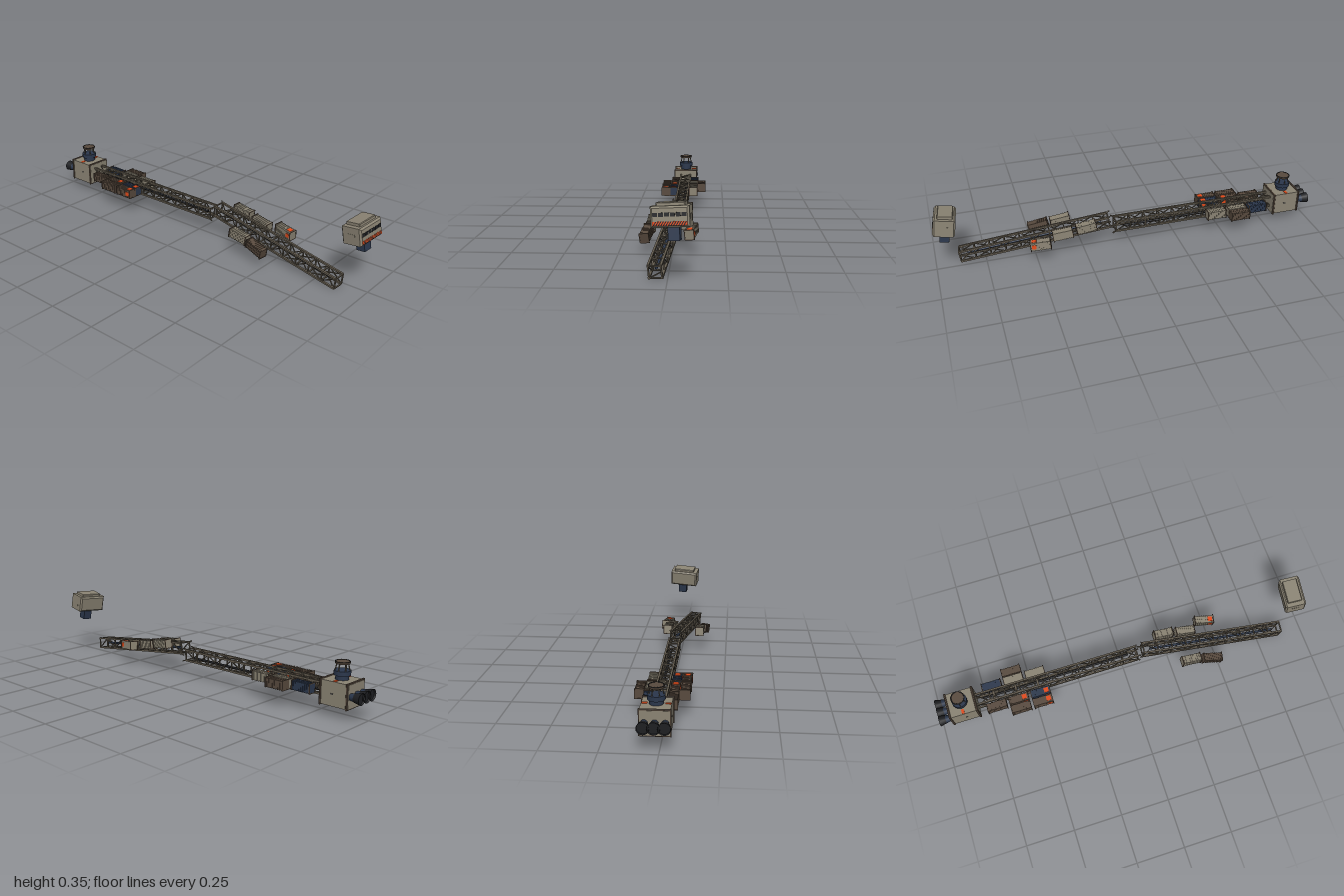
import * as THREE from 'three';
import { mergeGeometries } from 'three/addons/utils/BufferGeometryUtils.js';

const mat = (name, color, extra = {}) => {
  const m = new THREE.MeshStandardMaterial({ color, ...extra });
  m.name = name;
  return m;
};
const M = {
  hull: mat('hull grey', 0x8a8373),
  steel: mat('truss steel', 0x645c4f),
  brown: mat('rust brown', 0x584a3e),
  navy: mat('navy', 0x2b374c, { side: THREE.DoubleSide }),
  orange: mat('hazard orange', 0xe04a1a),
  dark: mat('near black', 0x1e1f22, { side: THREE.DoubleSide }),
};
const V = (x, y, z) => new THREE.Vector3(x, y, z);

function add(parent, name, geo, material, x = 0, y = 0, z = 0) {
  const m = new THREE.Mesh(geo, material);
  m.name = name;
  m.position.set(x, y, z);
  parent.add(m);
  return m;
}
const box = (w, h, d, x = 0, y = 0, z = 0) => new THREE.BoxGeometry(w, h, d).translate(x, y, z);

// Square bar between two points
function bar(a, b, t) {
  const d = b.clone().sub(a);
  const g = new THREE.BoxGeometry(t, t, d.length());
  g.applyQuaternion(new THREE.Quaternion().setFromUnitVectors(V(0, 0, 1), d.normalize()));
  const c = a.clone().add(b).multiplyScalar(0.5);
  return g.translate(c.x, c.y, c.z);
}

// Box with bevelled edges
function bevelBox(w, h, d, b) {
  const x = w / 2 - b, y = h / 2 - b;
  const s = new THREE.Shape([[-x, -y], [x, -y], [x, y], [-x, y]].map(p => new THREE.Vector2(...p)));
  return new THREE.ExtrudeGeometry(s, { depth: d - 2 * b, bevelSize: b, bevelThickness: b, bevelSegments: 1 })
    .translate(0, 0, b - d / 2);
}

// Lattice spine along z: four rails, square frames, alternating diagonals, inner conduit
function truss(name, length, bays, brokenEnd, pipeMat, pipeX, pipeY) {
  const g = new THREE.Group();
  g.name = name;
  const r = 0.0275, step = length / bays, parts = [];
  const corners = [[-r, -r], [r, -r], [r, r], [-r, r]];
  const zAt = i => -length / 2 + i * step;
  corners.forEach(([x, y], k) => {
    const [nx, ny] = corners[(k + 1) % 4];
    parts.push(box(0.0095, 0.0095, length, x, y, 0));
    for (let i = 0; i <= bays; i++) {
      parts.push(bar(V(x, y, zAt(i)), V(nx, ny, zAt(i)), 0.006));
      if (i === bays) continue;
      const flip = i % 2;
      parts.push(bar(V(x, y, zAt(i + flip)), V(nx, ny, zAt(i + 1 - flip)), 0.0045));
    }
    // Bent stubs on the snapped end
    const z = brokenEnd * length / 2;
    const reach = [0.012, 0.02, 0.009, 0.016][k];
    parts.push(bar(V(x, y, z), V(x * 1.12, y * 1.25, z + brokenEnd * reach), 0.006));
  });
  add(g, 'trussFrame', mergeGeometries(parts), M.steel);
  const pipe = new THREE.CylinderGeometry(0.006, 0.006, length * 0.9, 8).rotateX(Math.PI / 2);
  add(g, 'conduit', pipe, pipeMat, pipeX, pipeY, 0);
  return g;
}

// Ribbed cargo container with end frames and an optional orange marking
function container(parent, color, pos, rot = [0, 0, 0], marked = false) {
  const g = new THREE.Group();
  g.name = 'cargoContainer';
  const w = 0.043, h = 0.046, L = 0.104;
  const body = [box(w - 0.004, h - 0.004, L - 0.002)];
  for (let i = 0; i < 9; i++) body.push(box(w - 0.001, h - 0.001, 0.005, 0, 0, (i - 4) * 0.0108));
  add(g, 'containerBody', mergeGeometries(body), color);
  const frame = [];
  for (const s of [-1, 1]) {
    const z = s * (L / 2 - 0.002);
    for (const t of [-1, 1]) {
      frame.push(box(0.004, h + 0.002, 0.004, t * w / 2, 0, z));
      frame.push(box(w, 0.004, 0.004, 0, t * h / 2, z));
    }
  }
  add(g, 'containerFrame', mergeGeometries(frame), M.brown);
  if (marked) {
    add(g, 'topMarking', box(0.025, 0.002, 0.024), M.orange, 0, h / 2, 0.031);
    for (const s of [-1, 1]) add(g, 'sideMarking', box(0.002, 0.022, 0.022), M.orange, s * w / 2, 0, 0.033);
  }
  g.rotation.set(rot[0], rot[1], rot[2], 'YXZ');
  g.position.set(...pos);
  parent.add(g);
}

// Command cabin with windows, hazard band and neck
function cabin() {
  const g = new THREE.Group();
  g.name = 'commandCabin';
  const w = 0.158, h = 0.086, d = 0.106, f = d / 2;
  add(g, 'cabinHull', bevelBox(w, h, d, 0.008), M.hull);
  add(g, 'roofTier', bevelBox(0.118, 0.022, 0.074, 0.003), M.hull, 0.002, h / 2 + 0.003, -0.002);
  for (let i = 0; i < 6; i++)
    add(g, 'window', box(0.0195, 0.016, 0.003), M.dark, (i - 2.5) * 0.0235, 0.009, f);
  add(g, 'hazardBand', box(0.142, 0.017, 0.002), M.orange, 0, -0.0265, f);
  const slash = new THREE.Shape([[-0.008, -0.0085], [-0.003, -0.0085], [0.008, 0.0085], [0.003, 0.0085]]
    .map(p => new THREE.Vector2(...p)));
  for (let i = 0; i < 13; i++)
    add(g, 'hazardSlash', new THREE.ShapeGeometry(slash), M.dark, (i - 6) * 0.0102, -0.0265, f + 0.0016);
  for (const s of [-1, 1]) add(g, 'sideHatch', box(0.002, 0.03, 0.04), M.hull, s * w / 2, -0.005, 0);
  add(g, 'neck', box(0.048, 0.06, 0.046), M.navy, 0.008, -0.069, -0.004);
  g.rotation.set(-0.15, -0.12, 0.07, 'YXZ');
  g.position.set(0.021, 0.29, 0.931);
  return g;
}

// Engine block with flanges, docking collar and three nozzles
function engine() {
  const g = new THREE.Group();
  g.name = 'engineModule';
  add(g, 'engineHull', bevelBox(0.13, 0.114, 0.146, 0.004), M.hull);
  for (const s of [-1, 1]) {
    add(g, 'flange', bevelBox(0.138, 0.122, 0.01, 0.002), M.brown, 0, 0, s * 0.07);
    add(g, 'flangePlate', box(0.126, 0.11, 0.004), M.hull, 0, 0, s * 0.0745);
    add(g, 'topStripe', box(0.024, 0.004, 0.014), M.orange, s * 0.05, 0.0575, 0);
    add(g, 'vent', box(0.003, 0.005, 0.014), M.dark, s * 0.065, 0, 0.008);
  }
  // Docking tower
  add(g, 'dockDrum', new THREE.CylinderGeometry(0.031, 0.031, 0.026, 16), M.navy, 0, 0.069, 0);
  add(g, 'dockBase', new THREE.CylinderGeometry(0.039, 0.039, 0.022, 16), M.navy, 0, 0.088, 0);
  add(g, 'dockHatch', new THREE.CylinderGeometry(0.036, 0.034, 0.009, 16), M.brown, 0, 0.134, 0);
  add(g, 'hatchRim', new THREE.TorusGeometry(0.033, 0.0025, 6, 16).rotateX(Math.PI / 2), M.dark, 0, 0.138, 0);
  const legs = [];
  for (let i = 0; i < 6; i++) {
    const a = i * Math.PI / 3, c = Math.cos(a), s = Math.sin(a);
    legs.push(bar(V(c * 0.033, 0.094, s * 0.033), V(c * 0.025, 0.131, s * 0.025), 0.004));
  }
  add(g, 'dockStruts', mergeGeometries(legs), M.steel);
  // Nozzles: navy throat, blackened bell
  const lathe = pts => new THREE.LatheGeometry(pts.map(p => new THREE.Vector2(...p)), 16).rotateX(-Math.PI / 2);
  for (let i = -1; i <= 1; i++) {
    const x = i * 0.044;
    add(g, 'nozzleThroat', lathe([[0.016, 0], [0.018, 0.012], [0.021, 0.024]]), M.navy, x, 0, -0.075);
    add(g, 'nozzleBell', lathe([[0.021, 0.024], [0.025, 0.042], [0.028, 0.058]]), M.dark, x, 0, -0.075);
    add(g, 'nozzleInside', new THREE.CircleGeometry(0.026, 16), M.dark, x, 0, -0.124);
  }
  g.position.set(0.021, 0.116, -0.867);
  return g;
}

export function createModel() {
  const model = new THREE.Group();
  model.name = 'wreckedFreighter';

  const rear = truss('rearTruss', 0.88, 11, 1, M.dark, 0.01, -0.012);
  rear.position.set(0.021, 0.118, -0.36);
  const front = truss('frontTruss', 0.775, 10, -1, M.navy, 0, 0);
  front.rotation.set(0.142, -0.092, 0.06, 'YXZ');
  front.position.set(-0.017, 0.092, 0.495);
  model.add(rear, front, engine(), cabin());

  // Containers still clamped to the rear truss
  const y = 0.116;
  [[M.brown, -0.036, -0.697], [M.navy, 0.077, -0.697],
   [M.brown, -0.036, -0.58, true], [M.brown, -0.083, -0.58], [M.hull, 0.077, -0.58], [M.brown, 0.123, -0.58],
   [M.navy, -0.036, -0.463, true], [M.brown, -0.083, -0.463, true], [M.hull, 0.077, -0.463],
  ].forEach(([c, x, z, marked]) => container(model, c, [x, y, z], [0, 0, 0], marked));
  // Clamps joining rear containers to the spine
  for (const z of [-0.697, -0.58, -0.463])
    add(model, 'cargoClamp', box(0.09, 0.008, 0.012), M.steel, 0.021, y, z);

  // Containers drifting beside the front truss
  container(model, M.hull, [-0.103, 0.116, 0.345], [0.14, -0.03, 0]);
  container(model, M.brown, [-0.12, 0.094, 0.458], [0.25, -0.17, 0.08]);
  container(model, M.hull, [0.065, 0.156, 0.243], [0.14, -0.03, 0]);
  container(model, M.hull, [0.056, 0.13, 0.363], [0.14, -0.1, 0.06]);
  container(model, M.hull, [0.089, 0.112, 0.484], [0.1, -0.18, 0.08], true);

  // Rest the model on the ground
  model.updateMatrixWorld(true);
  const low = new THREE.Box3().setFromObject(model, true).min.y;
  model.children.forEach(c => { c.position.y -= low; });
  return model;
}
